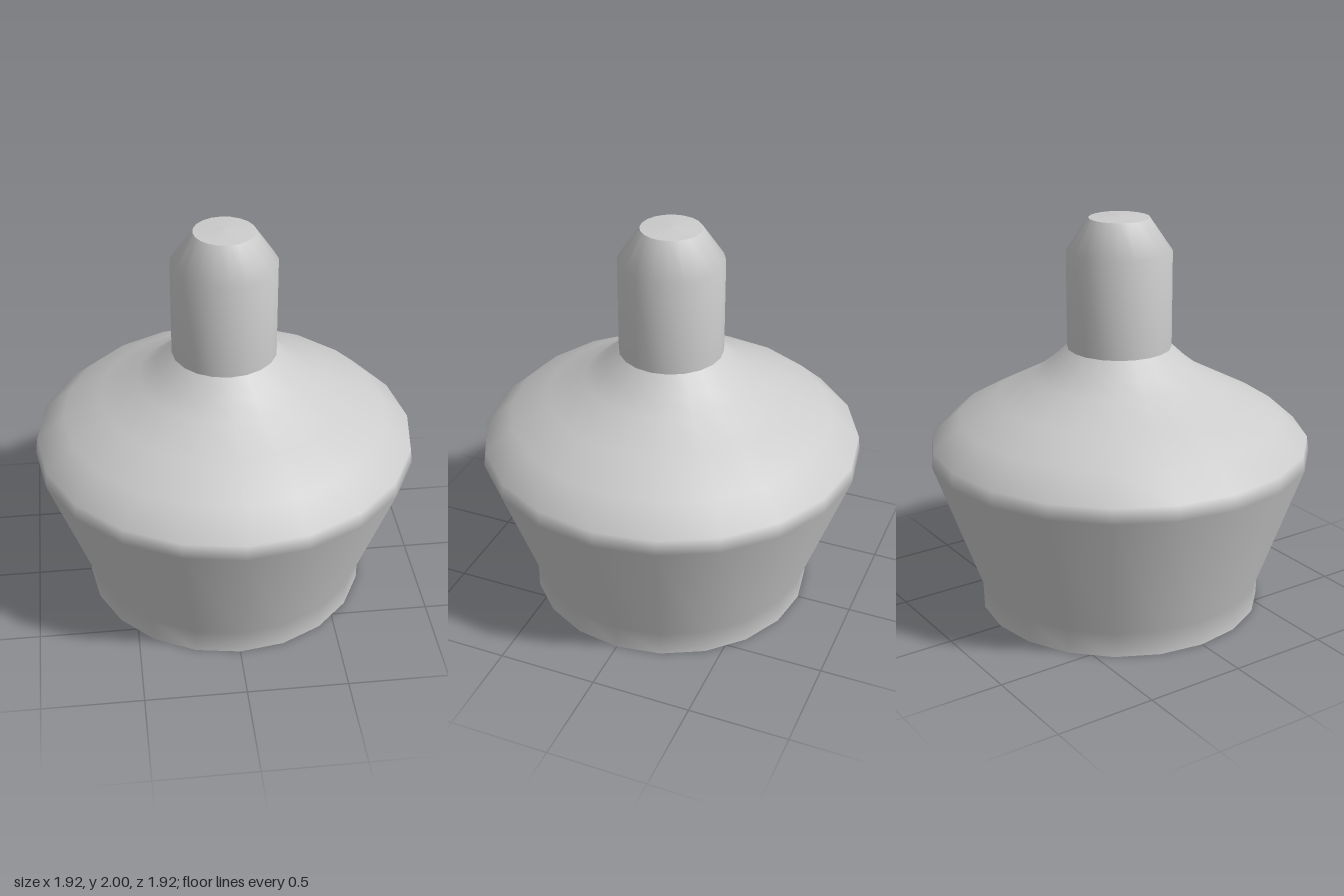
import * as THREE from 'three';

const SIDES = 20;

// Turned part from [radius, height] points, listed from bottom to top
function turned(name, points, material) {
  const profile = points.map(([r, y]) => new THREE.Vector2(r, y));
  const mesh = new THREE.Mesh(new THREE.LatheGeometry(profile, SIDES), material);
  mesh.name = name;
  return mesh;
}

export function createModel() {
  const group = new THREE.Group();
  group.name = 'stemmedBase';
  const grey = new THREE.MeshStandardMaterial({ color: 0xcccccc });

  // Separate meshes keep the edges between them sharp
  group.add(
    turned('bottomCap', [[0, 0], [0.72, 0]], grey),
    turned('body', [
      [0.72, 0], [0.72, 0.125], [0.96, 0.8], [0.95, 0.875],
      [0.81, 1.0], [0.62, 1.1], [0.43, 1.2], [0.34, 1.27], [0.26, 1.345],
    ], grey),
    turned('stem', [[0.26, 1.345], [0.26, 1.83], [0.15, 1.99]], grey),
    turned('stemCap', [[0.15, 1.99], [0, 2]], grey),
  );
  return group;
}
